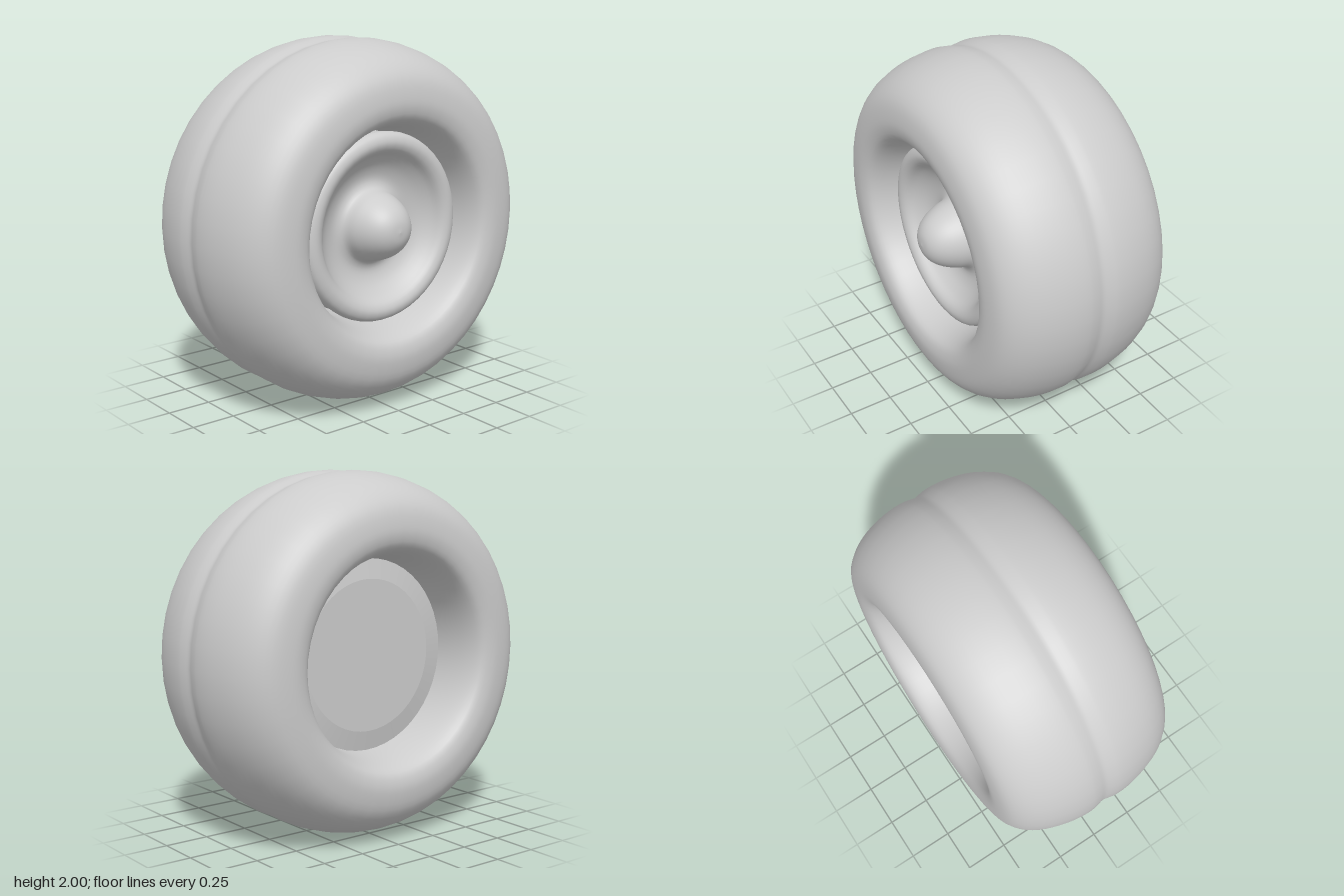
import * as THREE from 'three';

const SEGMENTS = 48;

// Smooth a [x, radius] profile and spin it around the x axis.
function spin(points, divisions, closed = false) {
  const curve = new THREE.CatmullRomCurve3(
    points.map(([x, r]) => new THREE.Vector3(r, x, 0)), closed, 'centripetal');
  const profile = curve.getPoints(divisions).map(p => new THREE.Vector2(Math.max(p.x, 0), p.y));
  return new THREE.LatheGeometry(profile, SEGMENTS).rotateZ(-Math.PI / 2);
}

function addPart(group, name, geometry, material) {
  const mesh = new THREE.Mesh(geometry, material);
  mesh.name = name;
  group.add(mesh);
  return mesh;
}

export function createModel() {
  const group = new THREE.Group();
  group.name = 'wheel';
  const grey = new THREE.MeshStandardMaterial({ color: 0xcccccc });
  grey.name = 'plain grey';

  const wheel = new THREE.Group();
  wheel.name = 'wheelAssembly';
  wheel.position.y = 1;
  group.add(wheel);

  // Tyre: half section from the centre groove over the shoulder to the bore, mirrored
  const half = [
    [0.04, 0.993], [0.09, 1.0], [0.2, 0.99], [0.34, 0.95], [0.44, 0.89],
    [0.5, 0.815], [0.523, 0.72], [0.522, 0.66], [0.5, 0.605], [0.44, 0.57],
    [0.34, 0.545], [0.2, 0.53],
  ];
  const mirrored = half.map(([x, r]) => [-x, r]).reverse();
  addPart(wheel, 'tyre', spin([[0, 0.522], ...mirrored, [0, 0.985], ...half], 80, true), grey);

  // Hub: drum, rounded rim bead, dished face and domed centre cap
  addPart(wheel, 'hub', spin([
    [-0.22, 0.51], [0.1, 0.51], [0.27, 0.505], [0.33, 0.522], [0.37, 0.505],
    [0.385, 0.465], [0.37, 0.425], [0.32, 0.385], [0.27, 0.32], [0.25, 0.25],
    [0.27, 0.205], [0.34, 0.182], [0.41, 0.15], [0.46, 0.11], [0.49, 0.06], [0.5, 0],
  ], 60), grey);

  // Flat back plate with a shallow outer ring
  addPart(wheel, 'hubBackRing', new THREE.LatheGeometry(
    [new THREE.Vector2(0.42, -0.24), new THREE.Vector2(0.53, -0.22)], SEGMENTS)
    .rotateZ(-Math.PI / 2), grey);
  const plate = addPart(wheel, 'hubBackPlate', new THREE.CircleGeometry(0.42, SEGMENTS), grey);
  plate.rotation.y = -Math.PI / 2;
  plate.position.x = -0.24;

  return group;
}
